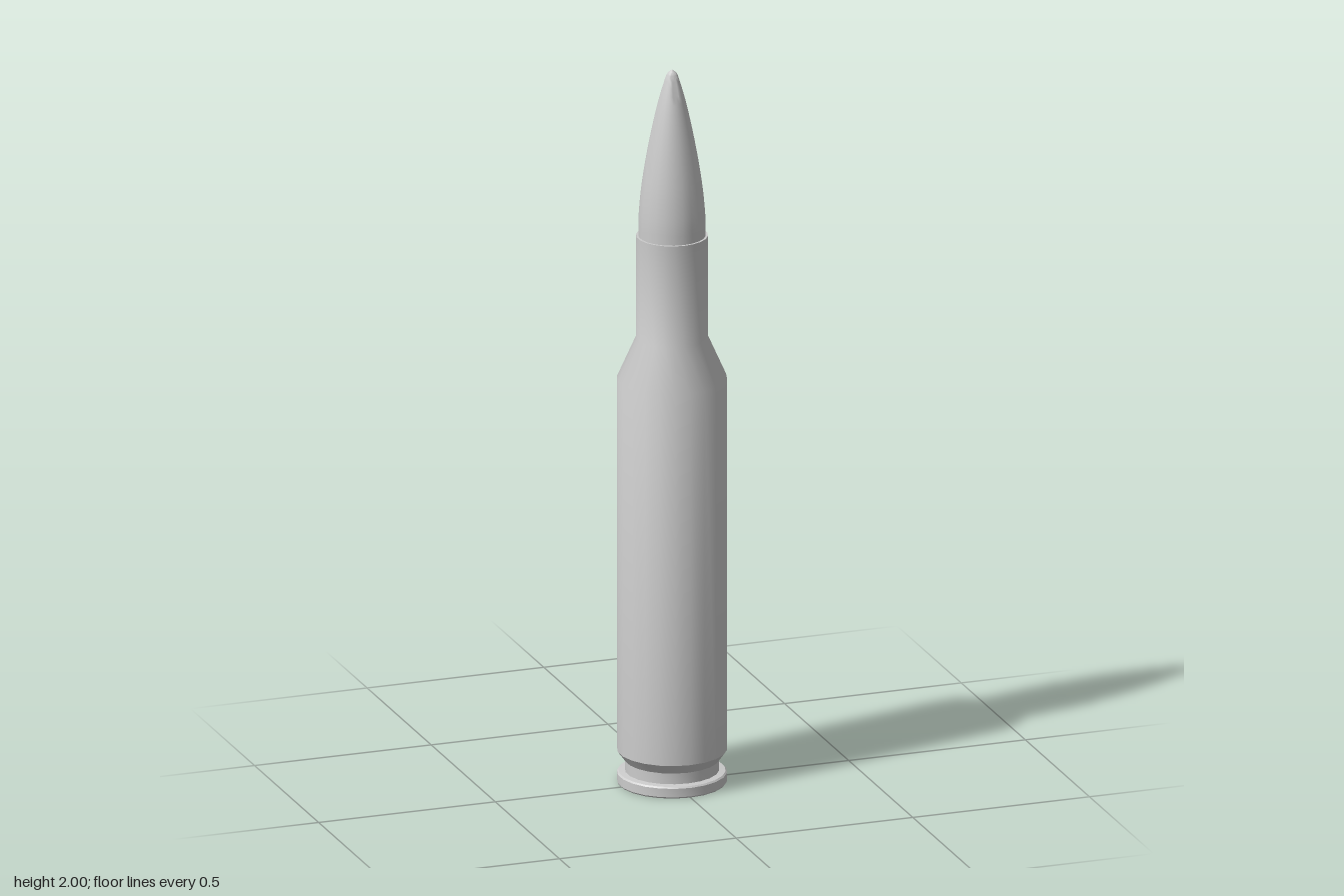
import * as THREE from 'three';
import { toCreasedNormals } from 'three/addons/utils/BufferGeometryUtils.js';

const SIDES = 22;
const material = new THREE.MeshStandardMaterial({ color: 0xcccccc });

// Turned part from [radius, height] pairs, listed from bottom to top
function turned(name, profile) {
  const points = profile.map(([r, y]) => new THREE.Vector2(r, y));
  const geometry = toCreasedNormals(new THREE.LatheGeometry(points, SIDES), 0.6);
  const mesh = new THREE.Mesh(geometry, material);
  mesh.name = name;
  return mesh;
}

export function createModel() {
  const group = new THREE.Group();
  group.name = 'cartridge';

  // Case: dimpled base, rim, groove, body, shoulder, neck and open mouth
  group.add(turned('case', [
    [0, 0.012], [0.035, 0.012], [0.055, 0],
    [0.144, 0], [0.147, 0.004], [0.147, 0.028], [0.143, 0.032],
    [0.126, 0.034], [0.126, 0.064], [0.147, 0.092],
    [0.147, 1.135], [0.096, 1.25],
    [0.096, 1.535], [0.09, 1.535], [0.089, 1.5],
  ]));

  // Pointed tip: a smooth ogive seated in the neck
  const ogive = new THREE.SplineCurve([
    [0.09, 1.56], [0.0885, 1.6], [0.082, 1.67], [0.07, 1.75], [0.055, 1.83],
    [0.037, 1.91], [0.02, 1.97], [0.012, 1.99], [0, 2],
  ].map(([r, y]) => new THREE.Vector2(r, y)));
  const tip = ogive.getPoints(24).map((p) => [Math.max(p.x, 0), Math.min(p.y, 2)]);
  group.add(turned('tip', [[0, 1.45], [0.09, 1.45], ...tip]));

  return group;
}
